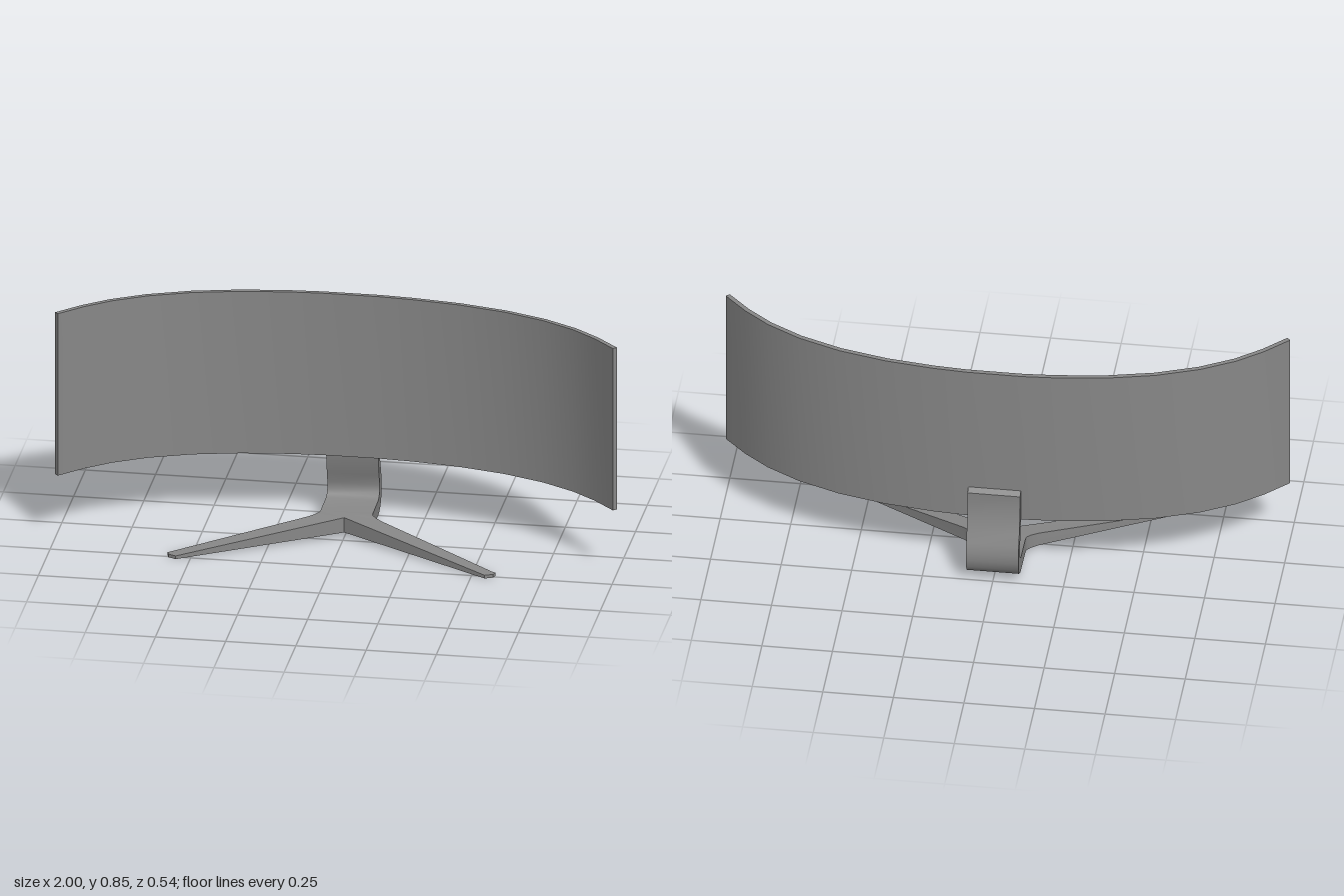
import * as THREE from 'three';
import { mergeGeometries, toCreasedNormals } from 'three/addons/utils/BufferGeometryUtils.js';

const material = new THREE.MeshStandardMaterial({ color: 0x888888 });
const lerp = THREE.MathUtils.lerp;
const JOINT_Z = -0.08; // where the neck runs into the foot

// Extrudes an outline of [a, b] points
function prism(points, depth) {
  const shape = new THREE.Shape(points.map(([a, b]) => new THREE.Vector2(a, b)));
  return new THREE.ExtrudeGeometry(shape, { depth, bevelEnabled: false });
}

// Plan outline [x, z] extruded upwards
const planPrism = (points, height) =>
  prism(points.map(([x, z]) => [x, -z]), height).rotateX(-Math.PI / 2);

// Mirror image of a half outline, in reverse order
const mirrored = (half) => half.map(([x, z]) => [-x, z]).reverse();

function part(name, geometry) {
  const mesh = new THREE.Mesh(toCreasedNormals(geometry, 0.6), material);
  mesh.name = name;
  return mesh;
}

// Thin curved panel: back line and its inward offset
function curvedScreen() {
  const half = [[0.1, -0.203], [0.22, -0.195], [0.39, -0.173], [0.56, -0.133],
    [0.71, -0.076], [0.83, -0.008], [0.92, 0.064], [1, 0.145]];
  const back = [...mirrored(half), ...half];
  const front = back.map(([x, z], i) => {
    const a = back[Math.max(i - 1, 0)], b = back[Math.min(i + 1, back.length - 1)];
    const dx = b[0] - a[0], dz = b[1] - a[1], len = Math.hypot(dx, dz);
    return [x - dz / len * 0.017, z + dx / len * 0.017];
  });
  return planPrism([...back, ...front.reverse()], 0.613).translate(0, 0.242, 0);
}

// Bent neck: side profile [z, y] extruded across the width
function neck() {
  const profile = [
    [JOINT_Z, 0.018], [-0.2, 0.022], [-0.218, 0.025], [-0.247, 0.039], [-0.262, 0.063],
    [-0.27, 0.095], [-0.269, 0.128], [-0.26, 0.163], [-0.242, 0.207], [-0.229, 0.26],
    [-0.222, 0.31], [-0.223, 0.352], [-0.2, 0.366],
    [-0.2, 0.26], [-0.207, 0.21], [-0.217, 0.165], [-0.228, 0.125], [-0.226, 0.1],
    [-0.216, 0.085], [-0.198, 0.077], [JOINT_Z, 0.074]];
  return prism(profile.map(([z, y]) => [-z, y]), 0.186)
    .rotateY(Math.PI / 2).translate(-0.093, 0, 0);
}

// Forked foot: plan outline whose thickness tapers along each leg
function foot() {
  const half = [[0.55, 0.27], [0.578, 0.256], [0.583, 0.24], [0.57, 0.232],
    [0.132, -0.033], [0.108, -0.053], [0.096, -0.068], [0.093, JOINT_Z]];
  const geometry = planPrism([[0, -0.03], ...half, ...mirrored(half)], 1);
  const p = geometry.attributes.position;
  for (let i = 0; i < p.count; i++) {
    const along = Math.abs(p.getX(i)) * 0.88 + p.getZ(i) * 0.48;
    const t = THREE.MathUtils.clamp((along - 0.045) / 0.57, 0, 1);
    p.setY(i, lerp(lerp(0.018, 0, t), lerp(0.074, 0.012, t), p.getY(i)));
  }
  return geometry;
}

// Neck and foot as one skin, without the hidden walls at the joint
function stand() {
  const merged = mergeGeometries([neck(), foot()]);
  const p = merged.attributes.position;
  const kept = [];
  for (let i = 0; i < p.count; i += 3) {
    const atJoint = [i, i + 1, i + 2].every((k) => Math.abs(p.getZ(k) - JOINT_Z) < 1e-4);
    if (!atJoint) kept.push(i, i + 1, i + 2);
  }
  merged.setIndex(kept);
  return merged;
}

export function createModel() {
  const group = new THREE.Group();
  group.name = 'curvedMonitor';
  group.add(part('screen', curvedScreen()), part('forkedStand', stand()));
  return group;
}
